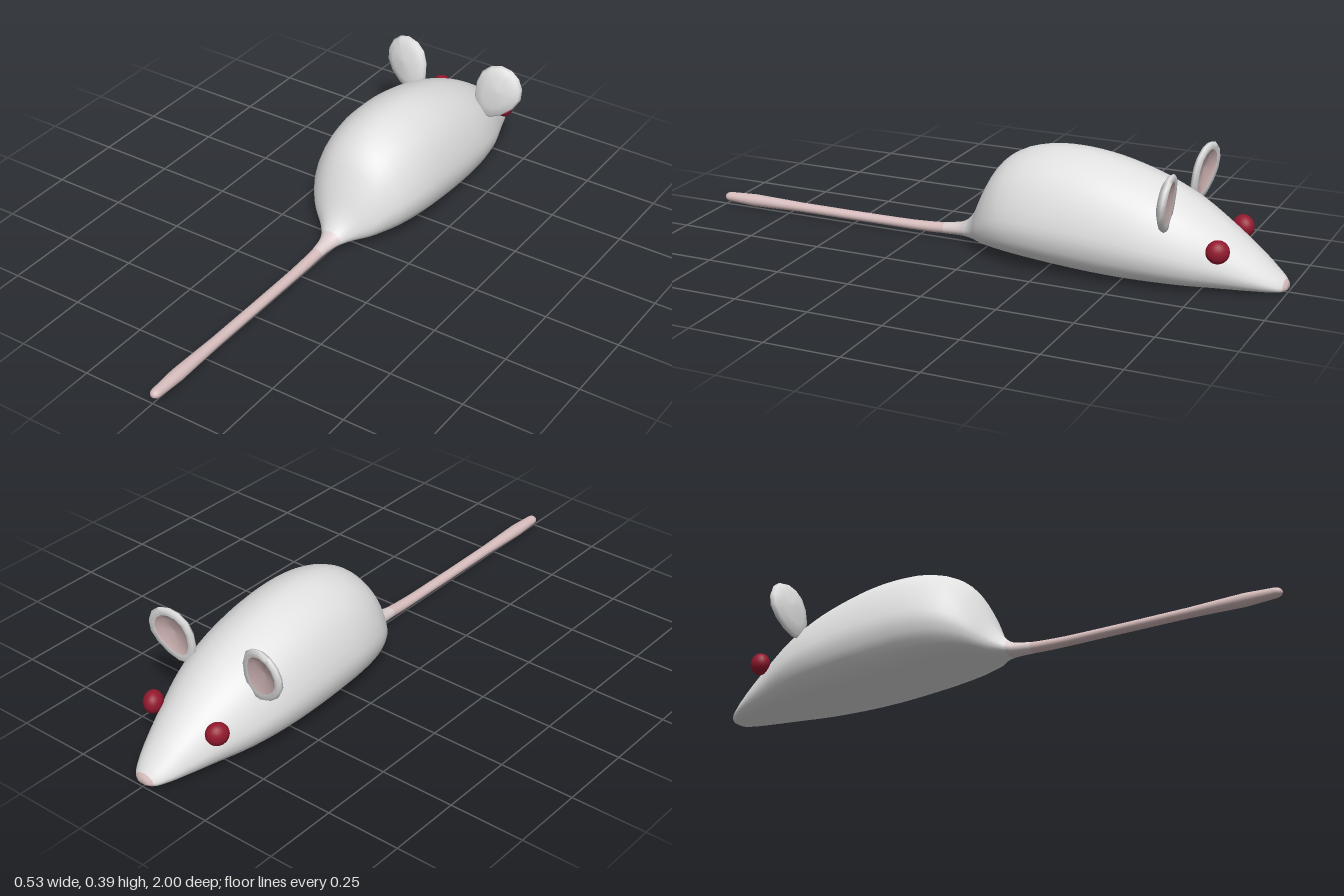
import * as THREE from 'three';

const mat = (name, color) => Object.assign(new THREE.MeshStandardMaterial({ color }), { name });

// Body stations along z: [z, top y, bottom y, half width]
const stations = [
  [-1, 0.032, 0.014, 0.018], [-0.99, 0.045, 0.009, 0.036], [-0.96, 0.073, 0.007, 0.06],
  [-0.9, 0.125, 0.006, 0.09], [-0.8, 0.2, 0.005, 0.13], [-0.7, 0.264, 0.004, 0.169],
  [-0.6, 0.311, 0.004, 0.193], [-0.5, 0.345, 0.004, 0.204], [-0.4, 0.368, 0.007, 0.209],
  [-0.3, 0.377, 0.013, 0.209], [-0.2, 0.37, 0.02, 0.203], [-0.1, 0.335, 0.026, 0.18],
  [-0.04, 0.282, 0.028, 0.148], [0, 0.212, 0.028, 0.115], [0.04, 0.125, 0.027, 0.068],
  [0.08, 0.078, 0.025, 0.037], [0.13, 0.062, 0.022, 0.023], [0.22, 0.052, 0.018, 0.019],
  [0.4, 0.048, 0.017, 0.018], [0.7, 0.048, 0.016, 0.018], [0.975, 0.047, 0.015, 0.018],
  [0.993, 0.043, 0.019, 0.014], [1, 0.036, 0.026, 0.006],
];

// Right half of the body cross-section: [x / half width, height fraction]
const half = [[0, 1], [0.24, 0.975], [0.48, 0.91], [0.71, 0.79], [0.88, 0.62], [0.985, 0.43],
  [0.99, 0.3], [0.9, 0.155], [0.69, 0.05], [0.38, 0.008], [0, 0]];

function bodyGeometry() {
  const spline = new THREE.CubicInterpolant(
    stations.map(s => s[0]), stations.flatMap(s => s.slice(1)), 3);
  const mirrored = half.slice(1, -1).reverse().map(([x, y]) => [-x, y]);
  const loop = new THREE.CatmullRomCurve3(
    [...half, ...mirrored].map(([x, y]) => new THREE.Vector3(x, y, 0)), true);
  const N = 40, section = loop.getPoints(N).slice(0, N);

  // Subdivide every station interval
  const zs = [];
  for (let i = 0; i < stations.length - 1; i++)
    for (let j = 0; j < 3; j++)
      zs.push(THREE.MathUtils.lerp(stations[i][0], stations[i + 1][0], j / 3));
  zs.push(1);

  const pos = [], index = [];
  for (const z of zs) {
    const [top, bottom, width] = spline.evaluate(z);
    const round = THREE.MathUtils.smoothstep(z, -0.02, 0.15);
    section.forEach((p, k) => {
      const a = k / N * Math.PI * 2;
      const x = THREE.MathUtils.lerp(p.x, Math.sin(a), round);
      const y = THREE.MathUtils.lerp(p.y, 0.5 + 0.5 * Math.cos(a), round);
      pos.push(x * width, bottom + y * (top - bottom), z);
    });
  }
  const geo = new THREE.BufferGeometry();
  const front = pos.length / 3, back = front + 1, last = (zs.length - 1) * N;
  pos.push(0, 0.023, -1, 0, 0.031, 1);

  // Colour bands by z: nose, fur, tail root, tail
  const band = z => (z < -0.985 ? 0 : z < 0.085 ? 1 : z < 0.16 ? 2 : 3);
  for (let k = 0; k < N; k++) index.push(front, k, (k + 1) % N);
  geo.addGroup(0, index.length, 0);
  for (let i = 0; i < zs.length - 1; i++) {
    const start = index.length;
    for (let k = 0; k < N; k++) {
      const a = i * N + k, b = i * N + (k + 1) % N, c = a + N, d = b + N;
      index.push(a, c, b, b, c, d);
    }
    geo.addGroup(start, index.length - start, band((zs[i] + zs[i + 1]) / 2));
  }
  const start = index.length;
  for (let k = 0; k < N; k++) index.push(back, last + (k + 1) % N, last + k);
  geo.addGroup(start, index.length - start, 3);

  geo.setAttribute('position', new THREE.Float32BufferAttribute(pos, 3));
  geo.setIndex(index);
  geo.computeVertexNormals();
  return geo;
}

// Cupped ear part: a lathe facing -z, lengthened and narrowed toward its base
function earGeometry(profile) {
  const geo = new THREE.LatheGeometry(profile.map(p => new THREE.Vector2(...p)), 14);
  geo.rotateX(-Math.PI / 2);
  const p = geo.attributes.position;
  for (let i = 0; i < p.count; i++) {
    const y = p.getY(i);
    if (y < 0) p.setXY(i, p.getX(i) * (1 + y * 2.5), y * 1.4);
    else p.setY(i, y * 1.05);
  }
  geo.computeVertexNormals();
  return geo;
}

export function createModel() {
  const fur = mat('whiteFur', 0xe0e0e0);
  const tailPink = mat('tailPink', 0xd6bcbc);
  const palePink = mat('palePink', 0xdccece);
  const earPink = mat('earPink', 0xcdb2b2);
  const eyeRed = mat('eyeRed', 0x94192f);

  const model = new THREE.Group();
  model.name = 'mouse';
  const add = (parent, name, geo, material) => {
    const mesh = new THREE.Mesh(geo, material);
    mesh.name = name;
    parent.add(mesh);
    return mesh;
  };

  // Body and tail in one smooth skin
  add(model, 'bodyAndTail', bodyGeometry(), [tailPink, fur, palePink, tailPink]);

  const shell = earGeometry([[0, -0.022], [0.05, -0.018], [0.077, -0.007], [0.084, 0.004],
    [0.077, 0.014], [0.06, 0.011]]);
  const inner = earGeometry([[0.06, 0.011], [0.04, 0.001], [0.0001, -0.004]]);
  const eye = new THREE.SphereGeometry(0.037, 20, 14);

  for (const s of [1, -1]) {
    const side = s > 0 ? 'left' : 'right';

    // Ears
    const ear = new THREE.Group();
    ear.name = side + 'Ear';
    add(ear, side + 'EarShell', shell, fur);
    add(ear, side + 'EarInner', inner, earPink);
    ear.position.set(s * 0.183, 0.303, -0.663);
    ear.rotation.set(-0.13, s * 0.12, -s * 0.45);
    model.add(ear);

    // Eyes, slightly flattened against the head
    const ball = add(model, side + 'Eye', eye, eyeRed);
    ball.position.set(s * 0.13, 0.147, -0.812);
    ball.rotation.y = s * 0.5;
    ball.scale.x = 0.85;
  }
  return model;
}
